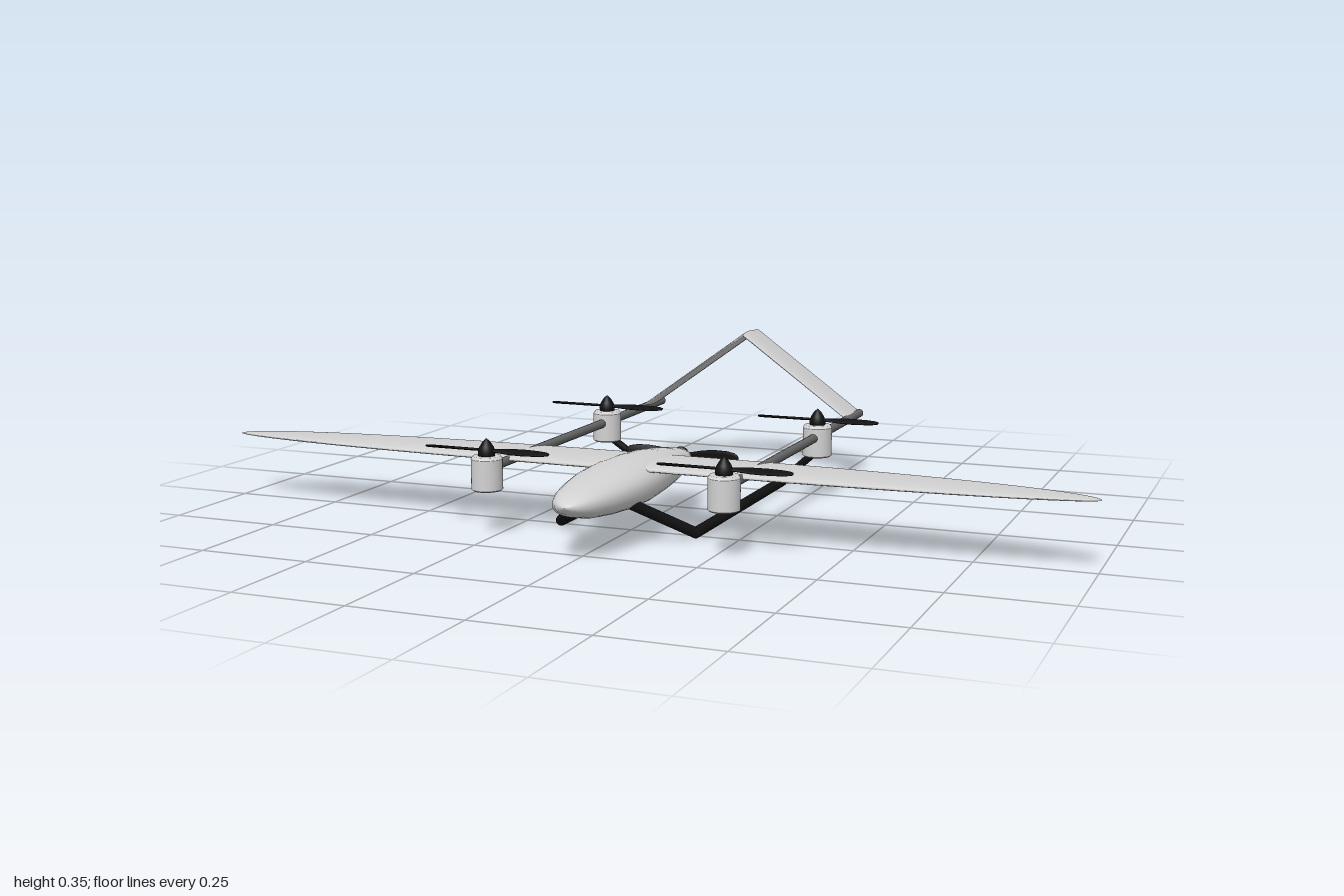
import * as THREE from 'three';

const paint = new THREE.MeshStandardMaterial({ color: 0xd2d2d2 });
paint.name = 'light grey paint';
const boomGrey = new THREE.MeshStandardMaterial({ color: 0x686868 });
boomGrey.name = 'boom grey';
const black = new THREE.MeshStandardMaterial({ color: 0x121212 });
black.name = 'black';

function part(name, geometry, material) {
  const mesh = new THREE.Mesh(geometry, material);
  mesh.name = name;
  return mesh;
}

// Smooth skin over closed rings: ring(i, angle) gives [x, y, z], anticlockwise seen from the far end
function loft(count, sides, ring) {
  const pos = [], index = [];
  for (let i = 0; i < count; i++) {
    for (let j = 0; j < sides; j++) {
      pos.push(...ring(i, (j / sides) * Math.PI * 2));
      if (i === count - 1) continue;
      const a = i * sides + j, b = i * sides + (j + 1) % sides;
      index.push(a, b, b + sides, a, b + sides, a + sides);
    }
  }
  const g = new THREE.BufferGeometry();
  g.setAttribute('position', new THREE.Float32BufferAttribute(pos, 3));
  g.setIndex(index);
  g.computeVertexNormals();
  return g;
}

// Round bar between two points
function bar(name, a, b, radius, material) {
  const p = new THREE.Vector3(...a), q = new THREE.Vector3(...b);
  const mesh = part(name, new THREE.CylinderGeometry(radius, radius, p.distanceTo(q), 14), material);
  mesh.position.copy(p).add(q).multiplyScalar(0.5);
  mesh.quaternion.setFromUnitVectors(new THREE.Vector3(0, 1, 0), q.sub(p).normalize());
  return mesh;
}

function createFuselage() {
  // z, half width, bottom, top
  const stations = [
    [-0.042, 0, 0.117, 0.117], [-0.038, 0.02, 0.105, 0.128], [-0.025, 0.033, 0.095, 0.135],
    [0.01, 0.047, 0.088, 0.143], [0.07, 0.06, 0.083, 0.153], [0.14, 0.071, 0.077, 0.161],
    [0.22, 0.08, 0.073, 0.165], [0.3, 0.085, 0.07, 0.166], [0.38, 0.082, 0.072, 0.163],
    [0.45, 0.072, 0.077, 0.157], [0.51, 0.059, 0.084, 0.15], [0.55, 0.044, 0.094, 0.142],
    [0.573, 0.027, 0.105, 0.133], [0.583, 0.011, 0.115, 0.125], [0.585, 0, 0.12, 0.12],
  ];
  return part('fuselage', loft(stations.length, 32, (i, t) => {
    const [z, w, lo, hi] = stations[i];
    const c = Math.cos(t), s = Math.sin(t);
    // Slightly squared oval section
    const bulge = (v) => Math.sign(v) * Math.pow(Math.abs(v), 0.88);
    return [w * bulge(c), (lo + hi) / 2 + (hi - lo) / 2 * bulge(s), z];
  }), paint);
}

function createWing() {
  const rows = 49;
  return part('wing', loft(rows, 24, (i, t) => {
    const x = -Math.cos((i / (rows - 1)) * Math.PI);
    const f = Math.sqrt(Math.max(0, 1 - Math.pow(Math.abs(x), 2.5)));
    const s = Math.sin(t);
    // Longer taper on the trailing side, thicker near the leading edge
    const front = 0.25 + 0.066 * f, back = 0.25 - 0.12 * f;
    const y = 0.15 + 0.011 * f * Math.cos(t) * (0.7 + 0.3 * s);
    return [x, y, (front + back) / 2 + (front - back) / 2 * s];
  }), paint);
}

// One half of the inverted V tail, from x0 to x1
function createTailPanel(name, x0, x1) {
  return part(name, loft(2, 24, (i, t) => {
    const x = i ? x1 : x0, s = Math.sin(t);
    const y = 0.345 - Math.abs(x) * 0.72 + 0.009 * Math.cos(t) * (0.7 + 0.3 * s);
    return [x, y, -0.523 + 0.062 * s];
  }), paint);
}

// Two-bladed propeller with a spinner, axis along +y
function createPropeller(name, span) {
  const group = new THREE.Group();
  group.name = name;
  // distance along the blade, half chord
  const chords = [[0.01, 0.006], [0.2, 0.008], [0.4, 0.014], [0.6, 0.0165], [0.8, 0.0155], [0.93, 0.012], [0.99, 0.006], [1, 0]];
  const blade = loft(chords.length, 12, (i, t) => {
    const [r, c] = chords[i];
    const pitch = 0.35 - 0.22 * r;
    const y = Math.min(0.003, c * 0.4) * Math.cos(t), z = c * Math.sin(t);
    return [r * span, y * Math.cos(pitch) - z * Math.sin(pitch), y * Math.sin(pitch) + z * Math.cos(pitch)];
  });
  for (const turn of [0, Math.PI]) {
    const mesh = part('blade', blade, black);
    mesh.rotation.y = turn;
    group.add(mesh);
  }
  const profile = [[0, -0.013], [0.018, -0.013], [0.0185, -0.002], [0.015, 0.008], [0.008, 0.019], [0, 0.026]];
  group.add(part('spinner', new THREE.LatheGeometry(profile.map(p => new THREE.Vector2(...p)), 24), black));
  return group;
}

function createMotorPod(name, x, z) {
  const group = new THREE.Group();
  group.name = name;
  const profile = [[0, 0.099], [0.03, 0.099], [0.034, 0.102], [0.034, 0.102], [0.034, 0.168], [0.034, 0.168], [0.03, 0.174], [0, 0.175]];
  group.add(part('podHousing', new THREE.LatheGeometry(profile.map(p => new THREE.Vector2(...p)), 28), paint));
  const propeller = createPropeller('liftPropeller', 0.147);
  propeller.position.y = 0.186;
  group.add(propeller);
  group.position.set(x, 0, z);
  return group;
}

export function createModel() {
  const model = new THREE.Group();
  model.name = 'twinBoomDrone';
  model.add(createFuselage(), createWing());
  model.add(createTailPanel('rightTailPanel', -0.272, 0), createTailPanel('leftTailPanel', 0, 0.272));

  for (const [side, s] of [['left', 1], ['right', -1]]) {
    // Tail boom and its two lift motors
    model.add(bar(side + 'Boom', [s * 0.27, 0.146, 0.4], [s * 0.27, 0.146, -0.585], 0.0105, boomGrey));
    model.add(createMotorPod(side + 'FrontMotor', s * 0.27, 0.4));
    model.add(createMotorPod(side + 'RearMotor', s * 0.27, -0.23));

    // Landing skid with front leg and rear strut
    const heel = [s * 0.158, 0.0145, 0.27];
    model.add(bar(side + 'Skid', [s * 0.158, 0.0145, -0.313], heel, 0.012, black));
    model.add(bar(side + 'FrontLeg', heel, [s * 0.06, 0.094, 0.39], 0.012, black));
    const joint = part(side + 'SkidBend', new THREE.SphereGeometry(0.012, 14, 10), black);
    joint.position.set(...heel);
    model.add(joint);
    model.add(bar(side + 'RearStrut', [s * 0.158, 0.0145, -0.28], [s * 0.265, 0.108, -0.235], 0.009, black));
  }

  // Pusher propeller at the back of the fuselage
  const pusher = createPropeller('pusherPropeller', 0.14);
  pusher.rotation.x = -Math.PI / 2;
  pusher.position.set(0, 0.117, -0.046);
  model.add(pusher);

  return model;
}
